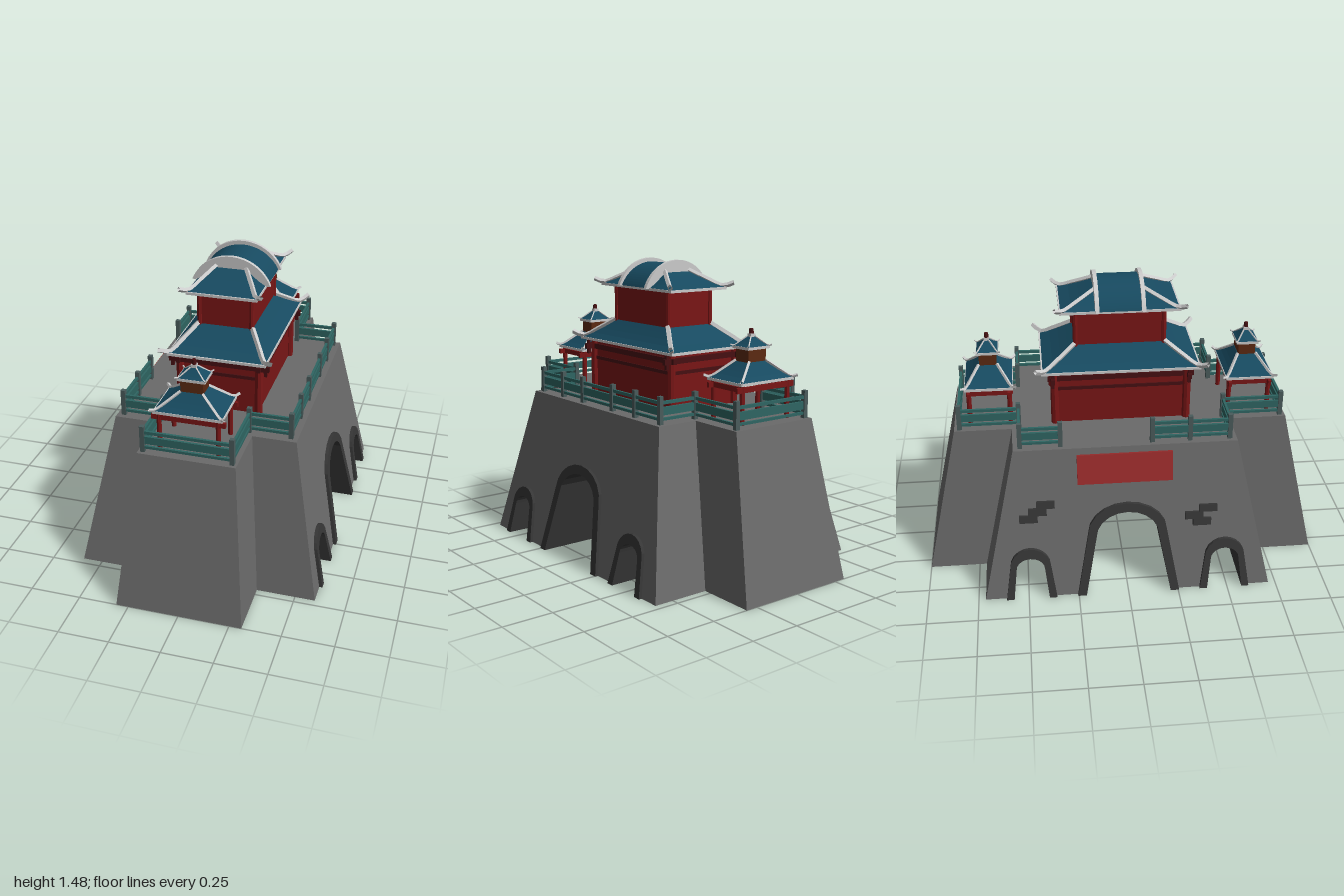
import * as THREE from 'three';

const COLORS = {
  stone: 0x6a6a6a, trim: 0x363636, red: 0x7a1616, darkRed: 0x471012, sign: 0x9a2c2c,
  roof: 0x174a60, rail: 0x2f6663, post: 0x4a5c5c, pale: 0xcccccc, brown: 0x5c2a12,
};
const MATS = {};
for (const k in COLORS) {
  MATS[k] = new THREE.MeshStandardMaterial({ color: COLORS[k], flatShading: true, side: THREE.DoubleSide });
}

function add(parent, name, geo, mat, x = 0, y = 0, z = 0) {
  const m = new THREE.Mesh(geo, MATS[mat]);
  m.name = name;
  m.position.set(x, y, z);
  parent.add(m);
  return m;
}

// box spanning y0..y1
function block(parent, name, mat, w, y0, y1, d, x = 0, z = 0) {
  return add(parent, name, new THREE.BoxGeometry(w, y1 - y0, d), mat, x, (y0 + y1) / 2, z);
}

// tapered block: half sizes at the bottom and top; power < 1 gives a concave sweep
function taper(parent, name, mat, [bx, bz], [tx, tz], y0, y1, power = 1) {
  const g = new THREE.BoxGeometry(2, 1, 2, 1, power === 1 ? 1 : 4, 1);
  const p = g.attributes.position;
  for (let i = 0; i < p.count; i++) {
    const t = p.getY(i) + 0.5, k = Math.pow(t, power);
    p.setXYZ(i, p.getX(i) * (bx + (tx - bx) * k), y0 + (y1 - y0) * t, p.getZ(i) * (bz + (tz - bz) * k));
  }
  return add(parent, name, g, mat);
}

// hipped roof with a pale eave slab and four upturned corner ridges
function hipRoof(parent, name, base, top, y0, y1, r, flare) {
  const g = new THREE.Group();
  g.name = name;
  taper(g, 'roofTiles', 'roof', base, top, y0, y1, 0.85);
  block(g, 'eave', 'pale', base[0] * 2.03, y0 - 0.012, y0 + 0.001, base[1] * 2.03);
  for (const sx of [-1, 1]) for (const sz of [-1, 1]) {
    const at = (t, y) => new THREE.Vector3(
      sx * (base[0] + (top[0] - base[0]) * t), y, sz * (base[1] + (top[1] - base[1]) * t));
    const path = new THREE.CatmullRomCurve3([
      at(1, y1 + r * 0.4), at(0.46, y0 + (y1 - y0) * 0.4 + r * 0.4), at(0.06, y0 + r * 0.5),
      new THREE.Vector3(sx * (base[0] + flare), y0 + flare * 0.8, sz * (base[1] + flare)),
    ]);
    add(g, 'cornerRidge', new THREE.TubeGeometry(path, 8, r, 4), 'pale');
  }
  parent.add(g);
  return g;
}

// arch outline from left foot to right foot: leaning legs and a round head
function archPoints(c, [foot, spring, ySpring, top]) {
  const pts = [[c - foot, 0]];
  for (let i = 0; i <= 10; i++) {
    const a = Math.PI * (1 - i / 10);
    pts.push([c + spring * Math.cos(a), ySpring + (top - ySpring) * Math.sin(a)]);
  }
  pts.push([c + foot, 0]);
  return pts.map(([x, y]) => new THREE.Vector2(x, y));
}

// side profile pulled along x, with ends leaning in with height
const SLOPE = 0.196;
function leaningExtrude(points, half) {
  const g = new THREE.ExtrudeGeometry(new THREE.Shape(points), { depth: 2, bevelEnabled: false });
  g.translate(0, 0, -1).rotateY(Math.PI / 2);
  const p = g.attributes.position;
  for (let i = 0; i < p.count; i++) p.setX(i, p.getX(i) * (half - SLOPE * p.getY(i)));
  return g;
}

const TERRACE = 0.765;

function buildBase(root) {
  const big = [[0.255, 0.195, 0.33, 0.48], [0.212, 0.155, 0.31, 0.435]];
  const small = [[0.125, 0.1, 0.17, 0.265], [0.088, 0.07, 0.16, 0.215]];
  const arches = [[-0.485, small], [0, big], [0.485, small]];
  const outline = [new THREE.Vector2(-0.715, 0)];
  for (const [c, [outer, inner]] of arches) {
    const mid = outer.map((v, i) => (v + inner[i]) / 2);
    outline.push(...archPoints(c, mid));
    add(root, 'archLining', leaningExtrude(
      [...archPoints(c, outer), ...archPoints(c, inner).reverse()], 0.614), 'trim');
  }
  outline.push(new THREE.Vector2(0.715, 0), new THREE.Vector2(0.545, TERRACE), new THREE.Vector2(-0.545, TERRACE));
  add(root, 'gateBody', leaningExtrude(outline, 0.598), 'stone');

  // end bastions
  for (const s of [-1, 1]) {
    const b = taper(root, 'bastion', 'stone', [0.31, 0.16], [0.235, 0.16], 0, TERRACE);
    const p = b.geometry.attributes.position;
    for (let i = 0; i < p.count; i++) {
      p.setZ(i, p.getZ(i) + s * (0.84 - 0.17 * p.getY(i) / TERRACE));
    }
  }

  // wall plaque and loose dark bricks on the right wall
  const wallBlock = (name, mat, h, w, y, z) => {
    const m = add(root, name, new THREE.BoxGeometry(0.022, h, w), mat, -(0.603 - SLOPE * y), y, z);
    m.rotation.z = -Math.atan(SLOPE);
  };
  wallBlock('plaque', 'sign', 0.15, 0.465, 0.66, -0.008);
  const bricks = [[0.49, -0.4], [0.455, -0.44], [0.42, -0.485], [0.43, 0.4], [0.395, 0.33], [0.36, 0.37]];
  for (const [y, z] of bricks) wallBlock('darkBrick', 'trim', 0.037, 0.09, y, z);
}

function buildRailing(root) {
  const g = new THREE.Group();
  g.name = 'railing';
  const post = (x, z) => block(g, 'railPost', 'post', 0.022, TERRACE, 0.897, 0.022, x, z);
  const span = (x0, z0, x1, z1) => {
    const w = Math.abs(x1 - x0) + 0.012, d = Math.abs(z1 - z0) + 0.012;
    for (const [a, b] of [[0.782, 0.795], [0.807, 0.845], [0.858, 0.873]]) {
      block(g, 'rail', 'rail', w, a, b, d, (x0 + x1) / 2, (z0 + z1) / 2);
    }
  };
  const X = 0.415, B = 0.212, Z = 0.51, E = 0.803;
  for (const sx of [-1, 1]) {
    const stops = [-Z, -0.315, -0.13, 0.13, 0.315, Z];
    stops.forEach((z, i) => {
      const gap = sx < 0 && (i === 1 || i === 2); // opening above the plaque
      if (!(sx < 0 && i === 2)) post(sx * X, z);
      if (i < 5 && !gap) span(sx * X, z, sx * X, stops[i + 1]);
    });
    for (const sz of [-1, 1]) {
      post(sx * B, sz * Z);
      post(sx * B, sz * E);
      span(sx * X, sz * Z, sx * B, sz * Z);
      span(sx * B, sz * Z, sx * B, sz * E);
    }
  }
  for (const sz of [-1, 1]) span(-B, sz * E, B, sz * E);
  root.add(g);
}

function buildHall(root) {
  const g = new THREE.Group();
  g.name = 'mainHall';
  g.position.x = 0.012;
  block(g, 'lowerWalls', 'red', 0.39, TERRACE, 1.06, 0.66);
  block(g, 'upperWalls', 'red', 0.27, 1.1, 1.34, 0.44);
  for (const sx of [-1, 1]) {
    for (const sz of [-1, 1]) {
      add(g, 'lowerColumn', new THREE.CylinderGeometry(0.02, 0.02, 0.29, 8), 'red', sx * 0.197, 0.91, sz * 0.328);
      add(g, 'upperColumn', new THREE.CylinderGeometry(0.013, 0.013, 0.23, 8), 'red', sx * 0.13, 1.23, sz * 0.216);
      block(g, 'bracket', 'darkRed', 0.015, 0.975, 1.045, 0.015, sx * 0.232, sz * 0.335);
    }
    block(g, 'sideBeam', 'darkRed', 0.02, 1.0, 1.027, 0.72, sx * 0.2);
    block(g, 'sideBand', 'darkRed', 0.012, 0.945, 0.962, 0.64, sx * 0.195);
    block(g, 'endBeam', 'darkRed', 0.5, 1.0, 1.027, 0.02, 0, sx * 0.335);
    block(g, 'endBand', 'darkRed', 0.38, 0.945, 0.962, 0.012, 0, sx * 0.33);
  }
  hipRoof(g, 'lowerRoof', [0.24, 0.385], [0.135, 0.22], 1.06, 1.158, 0.013, 0.034);
  hipRoof(g, 'upperRoof', [0.172, 0.29], [0.074, 0.115], 1.345, 1.42, 0.012, 0.028);

  // barrel-shaped crown between two pale round gables
  const crown = (name, mat, half, base, top, depth, z) => {
    const rise = top - base, R = (half * half + rise * rise) / (2 * rise);
    const a = Math.asin(half / R), s = new THREE.Shape();
    s.absarc(0, top - R, R, Math.PI / 2 - a, Math.PI / 2 + a, false);
    const geo = new THREE.ExtrudeGeometry(s, { depth, bevelEnabled: false, curveSegments: 16 });
    add(g, name, geo, mat, 0, 0, z - depth / 2);
  };
  crown('barrelCrown', 'roof', 0.18, 1.345, 1.457, 0.22, 0);
  for (const s of [-1, 1]) crown('roundGable', 'pale', 0.195, 1.343, 1.476, 0.02, s * 0.112);
  root.add(g);
}

function buildPavilion(root, z) {
  const g = new THREE.Group();
  g.name = 'pavilion';
  g.position.set(-0.008, 0, z);
  for (const sx of [-1, 1]) {
    for (const sz of [-1, 1]) {
      add(g, 'pavilionColumn', new THREE.CylinderGeometry(0.012, 0.012, 0.19, 8), 'red', sx * 0.14, 0.86, sz * 0.1);
    }
    block(g, 'sideLintel', 'red', 0.015, 0.915, 0.94, 0.22, sx * 0.14);
    block(g, 'endLintel', 'red', 0.35, 0.915, 0.94, 0.015, 0, sx * 0.1);
  }
  hipRoof(g, 'pavilionRoof', [0.162, 0.118], [0.052, 0.045], 0.96, 1.038, 0.008, 0.014);
  block(g, 'cupola', 'brown', 0.108, 1.03, 1.105, 0.085);
  hipRoof(g, 'cupolaRoof', [0.066, 0.054], [0.014, 0.013], 1.108, 1.15, 0.004, 0.008);
  block(g, 'finialBase', 'pale', 0.026, 1.148, 1.165, 0.026);
  add(g, 'finial', new THREE.CylinderGeometry(0.01, 0.012, 0.024, 8), 'darkRed', 0, 1.176, 0);
  root.add(g);
}

export function createModel() {
  const root = new THREE.Group();
  root.name = 'gateTower';
  buildBase(root);
  buildRailing(root);
  buildHall(root);
  for (const z of [-0.65, 0.65]) buildPavilion(root, z);
  return root;
}
